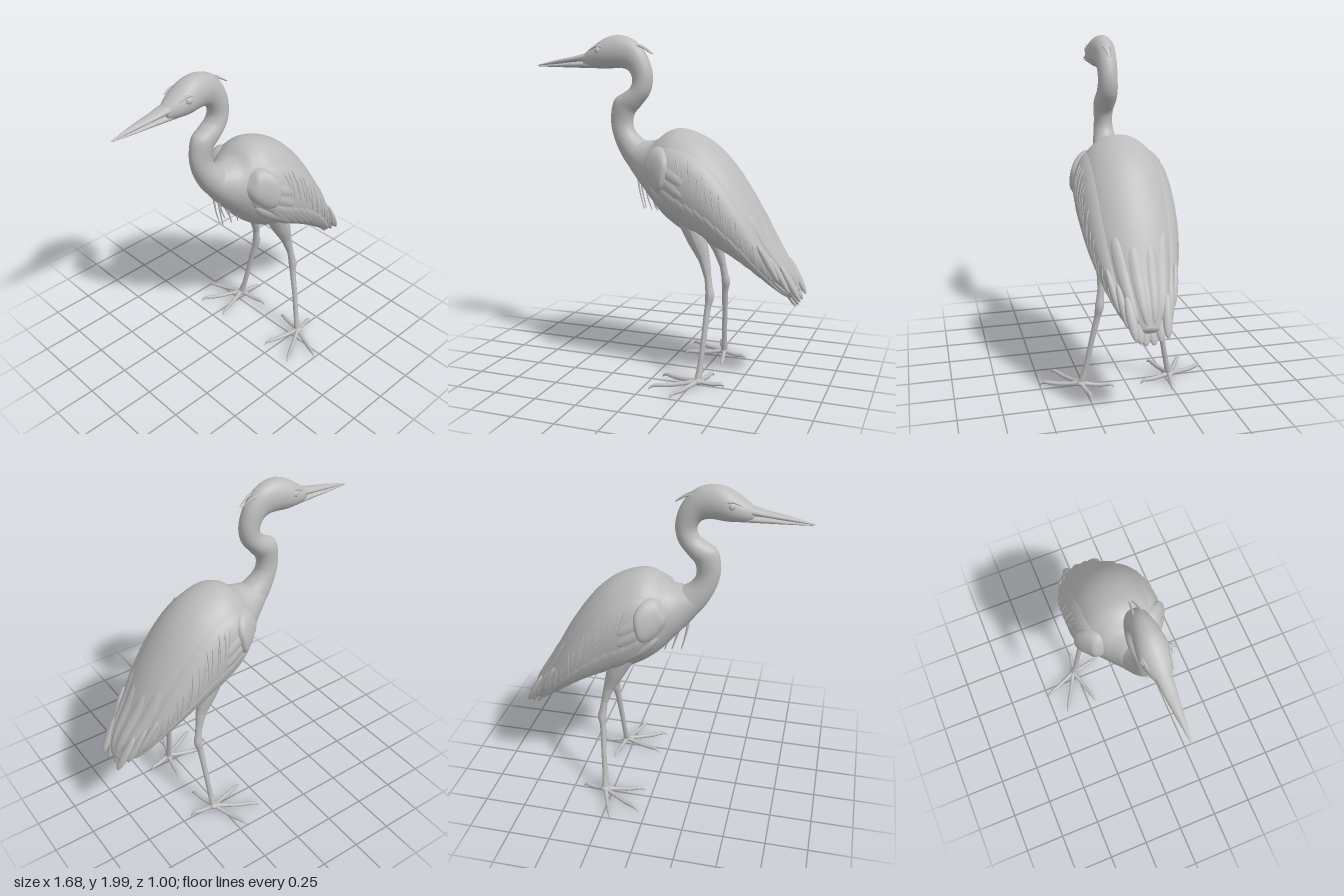
import * as THREE from 'three';

const V = (x, y, z = 0) => new THREE.Vector3(x, y, z);

function gridGeometry(points, faces) {
  const g = new THREE.BufferGeometry();
  g.setAttribute('position', new THREE.Float32BufferAttribute(points.flatMap(p => [p.x, p.y, p.z]), 3));
  g.setIndex(faces);
  g.computeVertexNormals();
  return g;
}

// Elliptical cross-sections: [topX, topY, bottomX, bottomY, halfWidth]
function sectionSurface(sections) {
  const top = new THREE.CatmullRomCurve3(sections.map(s => V(s[0], s[1], s[4])));
  const low = new THREE.CatmullRomCurve3(sections.map(s => V(s[2], s[3], 0)));
  const last = sections.length - 1;
  return (u, a, off = 0) => {
    const t = THREE.MathUtils.clamp(u / last, 0, 1);
    const p = top.getPoint(t), q = low.getPoint(t), w = Math.max(p.z, 0.001);
    const mid = V((p.x + q.x) / 2, (p.y + q.y) / 2);
    const half = V((p.x - q.x) / 2, (p.y - q.y) / 2);
    const h = Math.max(half.length(), 0.001);
    const n = half.clone().multiplyScalar(Math.cos(a) / (h * h)).add(V(0, 0, Math.sin(a) / w)).normalize();
    return mid.addScaledVector(half, Math.cos(a)).add(V(0, 0, w * Math.sin(a))).addScaledVector(n, off);
  };
}

function loft(sections, sides = 32, steps = 8) {
  const surf = sectionSurface(sections), last = sections.length - 1, n = last * steps;
  const pts = [], faces = [];
  for (let i = 0; i <= n; i++)
    for (let j = 0; j < sides; j++) pts.push(surf(i / steps, j / sides * Math.PI * 2));
  for (let i = 0; i < n; i++)
    for (let j = 0; j < sides; j++) {
      const a = i * sides + j, b = i * sides + (j + 1) % sides;
      faces.push(a, b, a + sides, b, b + sides, a + sides);
    }
  // end caps
  const c0 = pts.push(surf(0, 0).add(surf(0, Math.PI)).multiplyScalar(0.5)) - 1;
  const c1 = pts.push(surf(last, 0).add(surf(last, Math.PI)).multiplyScalar(0.5)) - 1;
  for (let j = 0; j < sides; j++) {
    const k = (j + 1) % sides;
    faces.push(c0, k, j, c1, n * sides + j, n * sides + k);
  }
  return gridGeometry(pts, faces);
}

// Curved feather lying on a surface, from (u0, a0) to (u1, a1), angles in degrees
function feather(surf, u0, u1, a0, a1, width, base, lift, power = 2, ns = 18, nt = 8) {
  const pts = [], faces = [], rad = Math.PI / 180;
  for (let i = 0; i <= ns; i++) {
    const s = (1 - Math.cos(Math.PI * i / ns)) / 2;   // denser rows at the rounded ends
    const w = width * Math.pow(Math.max(0, 1 - Math.pow(Math.abs(2 * s - 1), 2.6)), 0.5);
    for (let j = 0; j <= nt; j++) {
      const t = j / nt * 2 - 1;
      const edge = Math.min(1, 8 * s, 8 * (1 - s));
      const off = base + lift * (1 - Math.pow(Math.abs(t), power)) * edge - 0.004;
      pts.push(surf(u0 + (u1 - u0) * s, (a0 + (a1 - a0) * s + t * w) * rad, off));
    }
  }
  for (let i = 0; i < ns; i++)
    for (let j = 0; j < nt; j++) {
      const a = i * (nt + 1) + j, b = a + nt + 1;
      faces.push(a, a + 1, b, a + 1, b + 1, b);
    }
  return gridGeometry(pts, faces);
}

// Tapering round limb through points, each with a radius
function limb(points, radii, sides = 12, steps = 24) {
  const curve = new THREE.CatmullRomCurve3(points);
  const g = new THREE.TubeGeometry(curve, steps, 1, sides);
  const pos = g.attributes.position, last = radii.length - 1;
  for (let i = 0; i < pos.count; i++) {
    const t = Math.floor(i / (sides + 1)) / steps;
    const c = curve.getPointAt(t), f = curve.getUtoTmapping(t) * last, k = Math.min(Math.floor(f), last - 1);
    const r = THREE.MathUtils.lerp(radii[k], radii[k + 1], f - k);
    pos.setXYZ(i, c.x + (pos.getX(i) - c.x) * r, c.y + (pos.getY(i) - c.y) * r, c.z + (pos.getZ(i) - c.z) * r);
  }
  g.computeVertexNormals();
  return g;
}

export function createModel() {
  const model = new THREE.Group();
  model.name = 'wadingBird';
  const grey = new THREE.MeshStandardMaterial({ color: 0xbcbcbc, side: THREE.DoubleSide });
  grey.name = 'plumageGrey';
  const add = (parent, name, geometry) => {
    const m = new THREE.Mesh(geometry, grey);
    m.name = name;
    parent.add(m);
    return m;
  };

  // Head and S-shaped neck
  add(model, 'headAndNeck', loft([
    [-0.53, 1.88, -0.51, 1.806, 0.036], [-0.46, 1.93, -0.44, 1.8, 0.07], [-0.38, 1.978, -0.37, 1.798, 0.083],
    [-0.3, 1.995, -0.3, 1.803, 0.076], [-0.2, 1.965, -0.25, 1.795, 0.064], [-0.125, 1.88, -0.225, 1.775, 0.06],
    [-0.088, 1.76, -0.21, 1.73, 0.058], [-0.105, 1.66, -0.225, 1.69, 0.062], [-0.165, 1.58, -0.265, 1.66, 0.065],
    [-0.205, 1.53, -0.325, 1.62, 0.06], [-0.21, 1.46, -0.35, 1.51, 0.055], [-0.18, 1.41, -0.335, 1.41, 0.063],
    [-0.1, 1.36, -0.275, 1.28, 0.085], [0.0, 1.33, -0.18, 1.16, 0.11]]));

  // Beak
  add(model, 'upperBeak', loft([
    [-0.842, 1.819, -0.842, 1.815, 0.003], [-0.7, 1.852, -0.7, 1.825, 0.021],
    [-0.58, 1.873, -0.58, 1.838, 0.035], [-0.44, 1.91, -0.44, 1.842, 0.048]], 20));
  add(model, 'lowerBeak', loft([
    [-0.832, 1.815, -0.832, 1.809, 0.003], [-0.7, 1.826, -0.7, 1.806, 0.019],
    [-0.58, 1.838, -0.58, 1.803, 0.031], [-0.42, 1.845, -0.42, 1.8, 0.046]], 20));

  // Torso
  const bodySections = [
    [-0.15, 1.375, -0.28, 1.29, 0.075], [-0.05, 1.39, -0.2, 1.18, 0.12], [0.02, 1.44, -0.1, 1.06, 0.178],
    [0.1, 1.458, 0.0, 0.95, 0.232], [0.245, 1.41, 0.1, 0.875, 0.253], [0.38, 1.3, 0.22, 0.82, 0.252],
    [0.54, 1.077, 0.36, 0.76, 0.234], [0.67, 0.84, 0.51, 0.675, 0.188], [0.77, 0.67, 0.66, 0.57, 0.128],
    [0.812, 0.555, 0.755, 0.505, 0.06]];
  add(model, 'body', loft(bodySections, 48));
  const skin = sectionSurface(bodySections);

  // One side of the bird: wing, leg, eye and tail feathers
  const side = new THREE.Group();
  side.name = 'leftSide';
  add(side, 'wing', feather(skin, 1.6, 8.6, 88, 97, 47, 0, 0.021, 4, 48, 24));
  add(side, 'shoulder', feather(skin, 1.55, 3.4, 80, 88, 30, 0.004, 0.042, 4, 24, 16));
  for (let i = 0; i < 4; i++)   // rounded shoulder coverts
    add(side, 'shoulderCovert', feather(skin, 2.2 + i * 0.05, 4.2 + i * 0.15, 80 + i * 13, 84 + i * 13, 9, 0.014, 0.012));
  for (let i = 0; i < 9; i++)   // flight feathers along the lower wing edge
    add(side, 'secondaryFeather', feather(skin, 2.9 + i * 0.42, 5.0 + i * 0.45, 106 - i, 130 - i * 2, 10, 0.015, 0.011));
  for (let i = 0; i < 4; i++)   // long wing-tip feathers
    add(side, 'primaryFeather', feather(skin, 5 + i * 0.25, 9 - i * 0.12, 112 - i * 12, 118 - i * 18, 12, 0.01, 0.01));
  for (let i = 0; i < 2; i++)   // rump feathers over the tail
    add(side, 'rumpFeather', feather(skin, 6.4 - i * 0.3, 8.9 - i * 0.2, 14 + i * 24, 16 + i * 28, 14, 0, 0.012));
  for (let i = 0; i < 18; i++) { // narrow draped plumes of uneven length
    const u = 3.5 + i * 0.23;
    add(side, 'drapedPlume', feather(skin, u, u + 0.5, 62 + i * 1.2 - (i % 3) * 4, 84 + i + (i % 2) * 6, 2, 0.018, 0.007, 2, 12, 4));
  }

  // Tail feathers fanned around the tip: tip x, y, z and root z
  const tail = [[0.797, 0.462, 0.022, 0.02], [0.82, 0.485, 0.055, 0.065], [0.834, 0.51, 0.085, 0.11],
    [0.775, 0.56, 0.112, 0.145], [0.72, 0.63, 0.148, 0.19]];
  tail.forEach(([x, y, z, rootZ], i) => {
    const m = add(side, 'tailFeather', new THREE.SphereGeometry(1, 16, 12));
    const tip = V(x, y, z), root = V(x - 0.115, y + 0.21, rootZ);
    m.position.copy(tip).lerp(root, 0.5);
    m.quaternion.setFromUnitVectors(V(0, 1, 0), root.clone().sub(tip).normalize());
    m.scale.set(0.02, root.distanceTo(tip) / 2, 0.036 - 0.004 * i);
  });

  // Leg with feathered thigh, ankle joint and scaly shank
  add(side, 'thigh', limb([V(0.19, 0.95, 0.13), V(0.24, 0.83, 0.135), V(0.283, 0.72, 0.14), V(0.31, 0.62, 0.152)],
    [0.07, 0.056, 0.033, 0.021], 16));
  add(side, 'shank', limb([V(0.308, 0.64, 0.15), V(0.32, 0.56, 0.16), V(0.327, 0.515, 0.166), V(0.32, 0.46, 0.175),
    V(0.31, 0.3, 0.21), V(0.298, 0.12, 0.245), V(0.292, 0.035, 0.268)],
    [0.02, 0.022, 0.027, 0.019, 0.016, 0.016, 0.022], 14, 36));
  const footPad = add(side, 'footPad', new THREE.SphereGeometry(0.028, 16, 12));
  footPad.position.set(0.292, 0.035, 0.27);
  footPad.scale.y = 0.75;
  const toeTips = [[0.04, 0.41], [0.2, 0.5], [0.05, 0.2], [0.44, 0.24], [0.33, 0.08]];
  for (const [x, z] of toeTips) {
    const at = (t, y) => V(0.292 + (x - 0.292) * t, y, 0.27 + (z - 0.27) * t);
    add(side, 'toe', limb([at(0, 0.036), at(0.3, 0.026), at(0.6, 0.022), at(0.82, 0.025), at(0.92, 0.022), at(1, 0.004)],
      [0.016, 0.012, 0.013, 0.011, 0.008, 0.002], 10));
  }

  // Eye with brow ridge, nostril and head plume
  const eye = add(side, 'eye', new THREE.SphereGeometry(0.022, 20, 14));
  eye.position.set(-0.405, 1.903, 0.064);
  add(side, 'browRidge', limb([V(-0.46, 1.908, 0.06), V(-0.41, 1.928, 0.068), V(-0.36, 1.918, 0.075)], [0.003, 0.007, 0.003], 8));
  add(side, 'nostril', limb([V(-0.57, 1.866, 0.024), V(-0.52, 1.872, 0.032)], [0.004, 0.006], 8, 6));
  add(side, 'headPlume', limb([V(-0.22, 1.945, 0.028), V(-0.15, 1.925, 0.018), V(-0.088, 1.885, 0.008)], [0.009, 0.006, 0.003], 8));

  // Hanging breast plumes
  for (const [x, y, dx, dy, z] of [[-0.175, 1.17, 0.04, -0.2, 0.02], [-0.115, 1.1, 0.035, -0.13, 0.035], [-0.06, 1.05, 0.02, -0.08, 0.05]])
    add(side, 'breastPlume', limb([V(x, y, z), V(x + dx * 0.4, y + dy * 0.5, z), V(x + dx, y + dy, z * 0.8)], [0.007, 0.005, 0.003], 8, 10));

  const mirrored = side.clone();
  mirrored.name = 'rightSide';
  mirrored.scale.z = -1;
  model.add(side, mirrored);
  return model;
}
